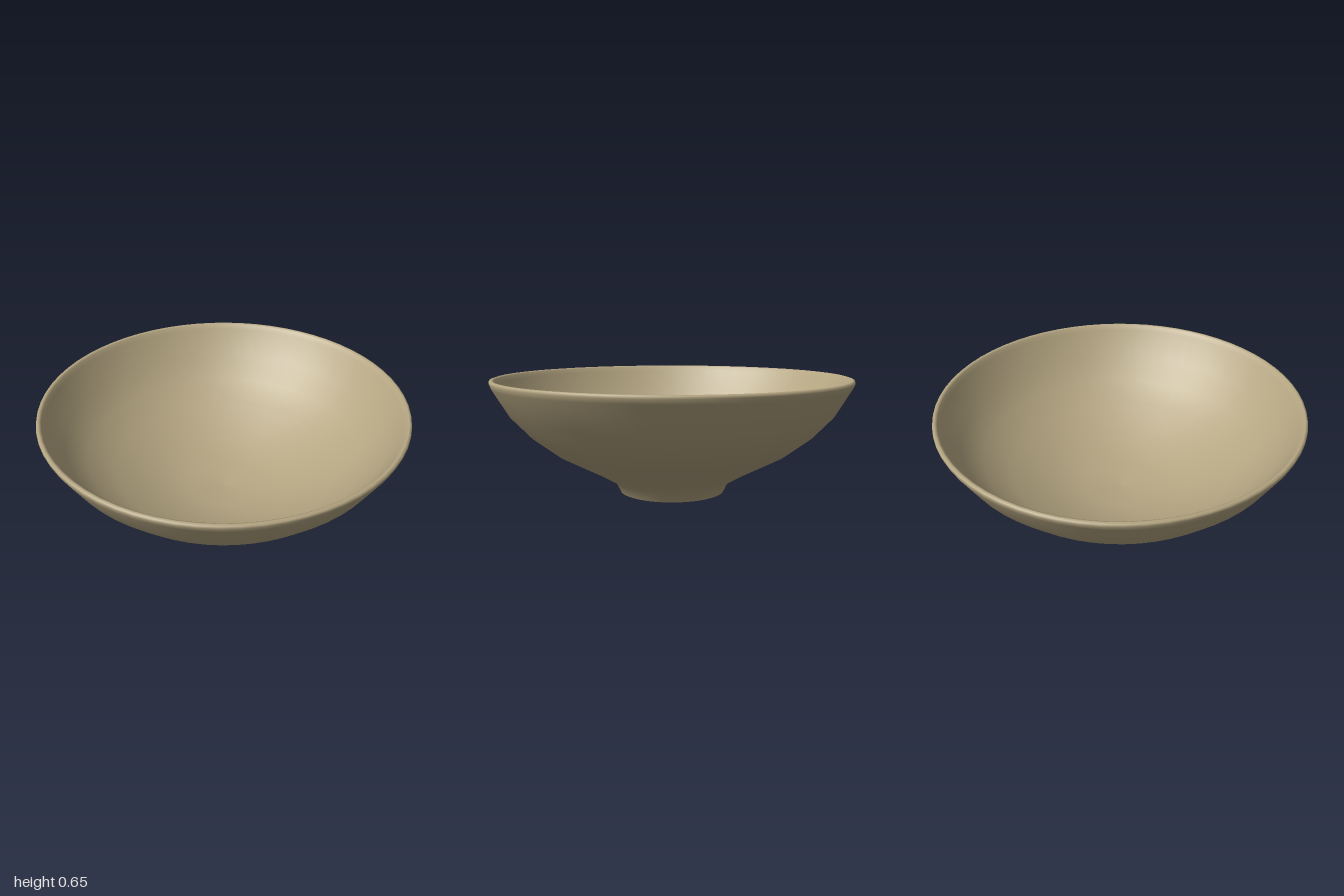
import * as THREE from 'three';

export function createModel() {
  const group = new THREE.Group();
  group.name = 'bowl';
  const clay = new THREE.MeshStandardMaterial({ color: 0xb5a682 });
  clay.name = 'tan clay';

  const lathe = (name, points) => {
    const profile = points.map(([r, y]) => new THREE.Vector2(r, y));
    const mesh = new THREE.Mesh(new THREE.LatheGeometry(profile, 64), clay);
    mesh.name = name;
    group.add(mesh);
  };

  // Closed profile: hollow foot, outer wall, rounded lip, inner wall
  lathe('bowlBody', [
    // recess under the foot
    [0, 0.06], [0.12, 0.057], [0.2, 0.045], [0.24, 0.005],
    // foot ring
    [0.25, 0], [0.285, 0], [0.293, 0.004], [0.32, 0.06],
    // outer wall
    [0.42, 0.12], [0.65, 0.24], [0.79, 0.345], [0.9, 0.46], [0.99, 0.61],
    // lip
    [1, 0.635], [0.997, 0.648], [0.985, 0.652], [0.972, 0.645],
    // inner wall
    [0.96, 0.62], [0.87, 0.475], [0.76, 0.365], [0.62, 0.265],
    [0.4, 0.155], [0.2, 0.1], [0, 0.085],
  ]);

  return group;
}
